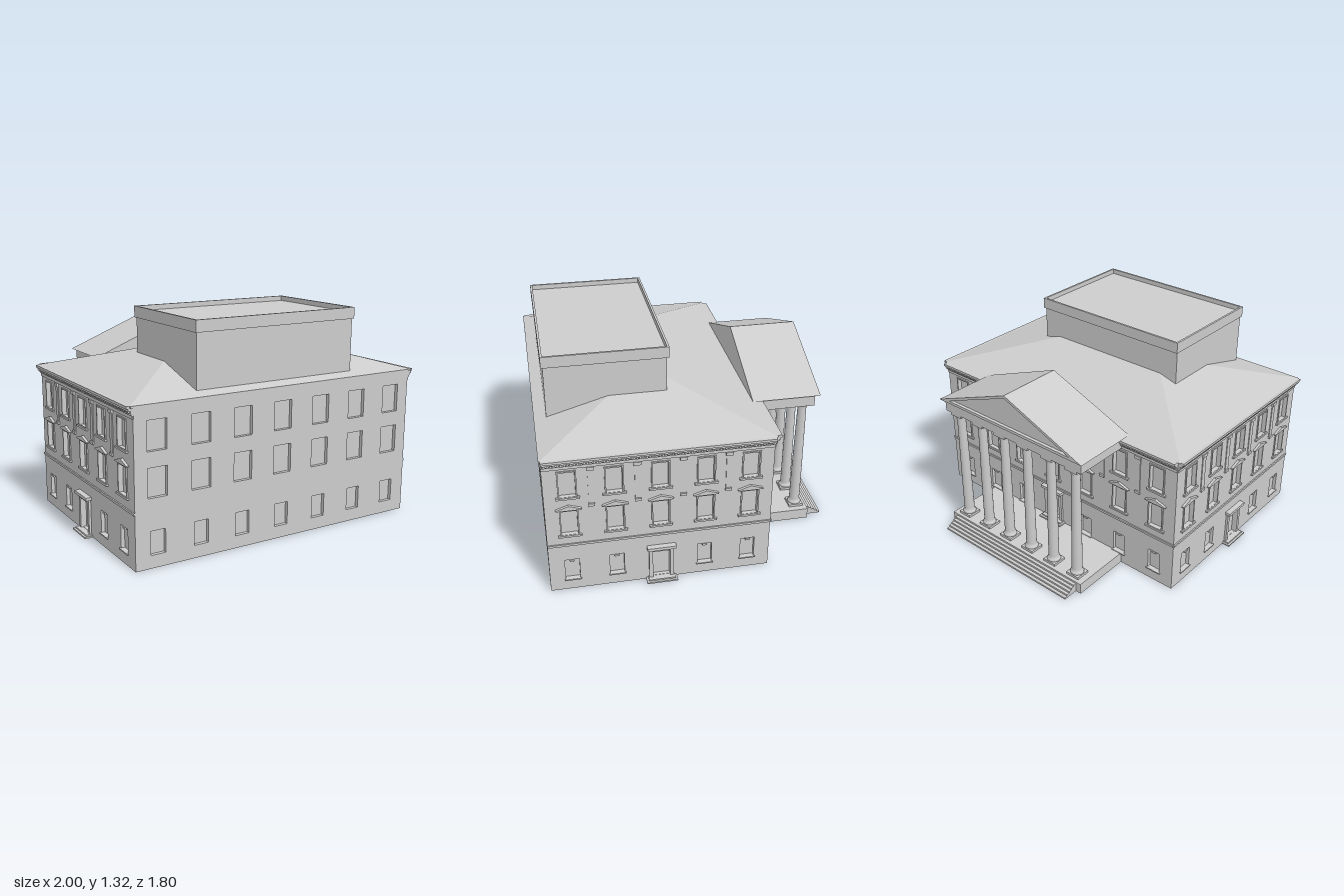
import * as THREE from 'three';
import { mergeGeometries } from 'three/addons/utils/BufferGeometryUtils.js';

const stone = new THREE.MeshStandardMaterial({ color: 0xcccccc });
stone.name = 'pale stone';

const X = 0.947, ZF = 0.887, ZB = -0.42, ZC = (ZF + ZB) / 2, T = 0.022;

function mesh(name, geos) {
  const list = [].concat(geos).map(g => (g.index ? g.toNonIndexed() : g));
  const m = new THREE.Mesh(list.length > 1 ? mergeGeometries(list) : list[0], stone);
  m.name = name;
  return m;
}

// box from min and max corners
function box(x0, x1, y0, y1, z0, z1) {
  return new THREE.BoxGeometry(x1 - x0, y1 - y0, z1 - z0)
    .translate((x0 + x1) / 2, (y0 + y1) / 2, (z0 + z1) / 2);
}

function polygon(points, Type = THREE.Shape) {
  return new Type(points.map(p => new THREE.Vector2(p[0], p[1])));
}

const rect = (u, w, y0, y1) => [[u - w / 2, y0], [u + w / 2, y0], [u + w / 2, y1], [u - w / 2, y1]];

function extrude(points, holes, depth, z = 0) {
  const s = polygon(points);
  s.holes = holes.map(h => polygon(h, THREE.Path));
  return new THREE.ExtrudeGeometry(s, { depth, bevelEnabled: false }).translate(0, 0, z);
}

// surround of an opening, standing proud of the wall
const surround = (u, w, y0, y1, t, out) =>
  extrude(rect(u, w + 2 * t, y0, y1 + t), [rect(u, w, y0 + 0.002, y1)], out);

// one elevation, with its outer wall plane at local z = 0
function facade(name, width, cols, ornate, doorBase) {
  const g = new THREE.Group();
  g.name = name;
  const holes = [], trim = [], hoods = [], pilasters = [];
  for (const u of cols) {
    const ww = ornate ? 0.092 : 0.118;
    const isDoor = ornate && u === 0;
    holes.push(rect(u, ww, 0.655, 0.824), rect(u, ww, 0.397, 0.565));
    if (isDoor) holes.push(rect(u, 0.102, doorBase + 0.02, doorBase + 0.205));
    else holes.push(rect(u, ornate ? 0.085 : 0.091, 0.075, 0.213));
    if (!ornate) continue;
    // upper windows
    trim.push(surround(u, ww, 0.655, 0.818, 0.008, 0.007),
      box(u - 0.067, u + 0.067, 0.643, 0.655, 0, 0.014));
    // middle windows with small pediments
    trim.push(surround(u, ww, 0.397, 0.56, 0.008, 0.007),
      box(u - 0.067, u + 0.067, 0.385, 0.397, 0, 0.014));
    hoods.push(extrude([[u - 0.073, 0.57], [u + 0.073, 0.57], [u + 0.073, 0.576], [u, 0.6], [u - 0.073, 0.576]], [], 0.016));
    if (isDoor) {
      const b = doorBase;
      trim.push(surround(u, 0.102, b + 0.015, b + 0.205, 0.022, 0.014),
        box(u - 0.085, u + 0.085, b + 0.227, b + 0.246, 0, 0.034),
        box(u - 0.092, u + 0.092, b, b + 0.009, 0, 0.051),
        box(u - 0.08, u + 0.08, b + 0.009, b + 0.018, 0, 0.038));
    } else {
      // ground floor windows with keystone and sill
      trim.push(box(u - 0.014, u + 0.014, 0.2, 0.213, -0.012, 0.004),
        box(u - 0.05, u + 0.05, 0.067, 0.075, 0, 0.01));
    }
  }
  g.add(mesh('wall', extrude(rect(0, width, 0, 0.91), holes, T, -T)));
  if (!ornate) {
    g.add(mesh('frieze', box(-X, X, 0.84, 0.905, 0, 0.004)));
    g.add(mesh('eaveStrip', box(-0.965, 0.965, 0.9, 0.912, 0, 0.009)));
    return g;
  }
  // narrow strips between the upper windows
  for (let i = 0; i < cols.length - 1; i++) {
    const u = (cols[i] + cols[i + 1]) / 2;
    pilasters.push(box(u - 0.016, u + 0.016, 0.6, 0.82, 0, 0.005),
      box(u - 0.021, u + 0.021, 0.82, 0.84, 0, 0.012),
      box(u - 0.018, u + 0.018, 0.58, 0.597, 0, 0.011));
  }
  // stepped cornice and dentils
  const h = width / 2 + (doorBase ? 0 : T);
  const cornice = [[0.84, 0.86, 0.006], [0.86, 0.883, 0.012], [0.883, 0.897, 0.028], [0.897, 0.912, 0.037]]
    .map(([a, b, out]) => box(-h, h, a, b, 0, out));
  const dentils = [];
  for (let u = -h + 0.01; u < h - 0.005; u += 0.018) dentils.push(box(u - 0.005, u + 0.005, 0.871, 0.883, 0.012, 0.022));
  g.add(mesh('windowTrim', trim), mesh('windowPediments', hoods), mesh('pilasterStrips', pilasters),
    mesh('cornice', cornice), mesh('dentils', dentils),
    mesh('stringCourse', box(-h, h, 0.318, 0.332, 0, 0.008)));
  return g;
}

function hipRoof() {
  const x = 0.965, y = 0.912, f = 0.893, b = -0.43, mid = (f + b) / 2, r = (f - b) / 2;
  const g = new THREE.BufferGeometry();
  g.setAttribute('position', new THREE.Float32BufferAttribute([
    -x, y, f, x, y, f, x, y, b, -x, y, b, r - x, y + r * 0.285, mid, x - r, y + r * 0.285, mid], 3));
  g.setIndex([0, 1, 5, 0, 5, 4, 1, 2, 5, 2, 3, 4, 2, 4, 5, 3, 0, 4, 0, 3, 2, 0, 2, 1]);
  const flat = g.toNonIndexed();
  flat.computeVertexNormals();
  return flat;
}

function column(x) {
  const g = new THREE.Group();
  g.name = 'column';
  const profile = [[0.041, 0.085], [0.043, 0.092], [0.04, 0.1], [0.033, 0.106], [0.033, 0.12], [0.032, 0.35],
    [0.027, 0.795], [0.031, 0.8], [0.028, 0.806], [0.031, 0.812], [0.041, 0.826]];
  const shaft = new THREE.LatheGeometry(profile.map(p => new THREE.Vector2(p[0], p[1])), 24);
  g.add(mesh('shaft', shaft));
  g.add(mesh('plinthAndCapital', [box(-0.046, 0.046, 0.068, 0.086, -0.046, 0.046),
    box(-0.044, 0.044, 0.824, 0.847, -0.044, 0.044)]));
  g.position.set(x, 0, -0.737);
  return g;
}

function portico() {
  const g = new THREE.Group();
  g.name = 'portico';
  g.add(mesh('platform', box(-0.56, 0.56, 0, 0.07, -0.805, ZB)));
  const steps = [];
  for (let i = 0; i < 5; i++) steps.push(box(-0.523, 0.523, 0, 0.058 - i * 0.0116, -0.825 - i * 0.0195, -0.8));
  g.add(mesh('steps', steps));
  for (let i = 0; i < 6; i++) g.add(column(-0.475 + i * 0.19));
  g.add(mesh('entablature', [box(-0.555, 0.555, 0.845, 0.926, -0.785, ZB + 0.01)]));
  // gable with a slightly sunken face
  const gable = [[-0.58, 0.924], [0.58, 0.924], [0, 1.153]];
  const panel = [[-0.49, 0.942], [0.49, 0.942], [0, 1.135]];
  g.add(mesh('gable', extrude(gable, [], 0.4, -0.79)));
  g.add(mesh('gableCornice', extrude(gable, [panel], 0.02, -0.81)));
  return g;
}

export function createModel() {
  const model = new THREE.Group();
  model.name = 'porticoBuilding';

  // solid core behind the window openings
  model.add(mesh('core', box(-X + T, X - T, 0, 0.91, ZB + T, ZF - T)));

  const seven = [-3, -2, -1, 0, 1, 2, 3].map(i => i * 0.27);
  const five = [-2, -1, 0, 1, 2].map(i => i * 0.26);

  const front = facade('frontElevation', 2 * X, seven, false, 0);
  front.position.z = ZF;
  const back = facade('backElevation', 2 * X, seven, true, 0.07);
  back.position.z = ZB;
  back.rotation.y = Math.PI;
  model.add(front, back);
  for (const s of [1, -1]) {
    const side = facade(s > 0 ? 'leftElevation' : 'rightElevation', ZF - ZB - 2 * T, five, true, 0);
    side.position.set(s * X, 0, ZC);
    side.rotation.y = s * Math.PI / 2;
    model.add(side);
  }

  model.add(mesh('hipRoof', hipRoof()));

  // roof block with a parapet rim around a sunken deck
  model.add(mesh('roofBlock', box(-0.535, 0.535, 0.9, 1.285, 0.12, 0.824)));
  const rim = extrude([[-0.543, -0.834], [0.543, -0.834], [0.543, -0.106], [-0.543, -0.106]],
    [[[-0.53, -0.821], [0.53, -0.821], [0.53, -0.119], [-0.53, -0.119]]], 0.068);
  model.add(mesh('parapet', rim.rotateX(-Math.PI / 2).translate(0, 1.247, 0)));

  model.add(portico());
  return model;
}
